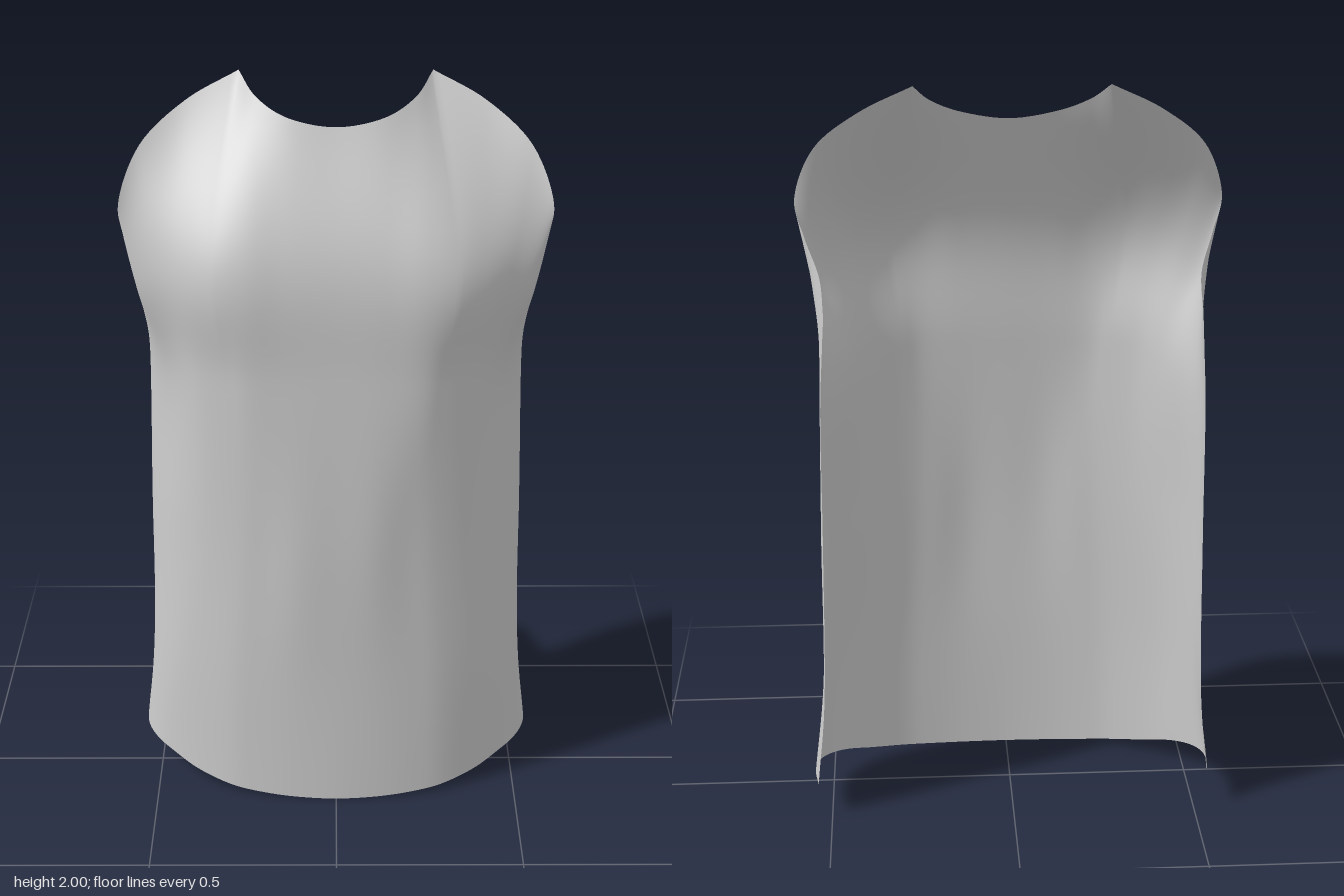
import * as THREE from 'three';

// Control rows for the wearer's left half, from the centre line round to the side edge.
const zip = (x, y, z) => x.map((v, i) => new THREE.Vector3(v, Array.isArray(y) ? y[i] : y, z[i]));
const BODY = [
  // curved hem
  zip([0, .12, .22, .30, .39, .46, .51, .54, .545, .535],
    [0, .003, .01, .02, .04, .065, .08, .09, .097, .1],
    [.20, .193, .177, .155, .11, .06, .01, -.05, -.12, -.19]),
  // hip
  zip([0, .11, .21, .29, .38, .445, .49, .513, .515, .51], .37,
    [.197, .193, .178, .158, .115, .07, .015, -.04, -.11, -.19]),
  // waist
  zip([0, .10, .19, .26, .34, .40, .45, .49, .507, .50], .8,
    [.20, .198, .178, .16, .125, .085, .035, -.03, -.10, -.19]),
  // hollow under the chest
  zip([0, .12, .22, .28, .35, .395, .435, .475, .497, .495],
    [1.25, 1.25, 1.25, 1.25, 1.25, 1.24, 1.22, 1.2, 1.18, 1.16],
    [.183, .182, .175, .155, .12, .08, .03, -.03, -.10, -.187]),
  // chest and underarm
  zip([0, .13, .23, .31, .385, .45, .505, .51, .495, .485],
    [1.57, 1.57, 1.58, 1.58, 1.56, 1.53, 1.48, 1.45, 1.39, 1.34],
    [.158, .16, .16, .145, .115, .08, .045, 0, -.08, -.193]),
];
// neckline, shoulder edge and armhole
const EDGE = zip([0, .12, .20, .245, .38, .495, .55, .528, .49, .478],
  [1.89, 1.91, 1.95, 2.0, 1.93, 1.83, 1.69, 1.59, 1.505, 1.44],
  [.022, .01, -.04, -.11, -.08, -.025, .025, .012, -.07, -.2]);
const NECK = 3;   // column of the neck corner, where the edge turns sharply
const LAST = 9;

const spline = (pts) => new THREE.CatmullRomCurve3(pts, false, 'catmullrom', 0.5);
const mirror = (p) => new THREE.Vector3(-p.x, p.y, p.z);
const bothSides = (row) => spline([...row.slice(1).reverse().map(mirror), ...row]);

// Samplers take a column number from 0 (centre) to LAST (side edge).
function bodySampler(row) {
  const curve = bothSides(row);
  return (k) => curve.getPoint(0.5 + k / (2 * LAST));
}

function edgeSampler(row) {
  const neck = bothSides(row.slice(0, NECK + 1));
  const side = spline(row.slice(NECK));
  return (k) => k <= NECK
    ? neck.getPoint(0.5 + k / (2 * NECK))
    : side.getPoint((k - NECK) / (LAST - NECK));
}

function clothGeometry() {
  const perColumn = 8, half = LAST * perColumn, nv = 75, stride = 2 * half + 1;
  const samplers = [...BODY.map(bodySampler), edgeSampler(EDGE)];
  const columns = [];
  for (let i = 0; i <= half; i++) {
    columns.push(spline(samplers.map((f) => f(i / perColumn))).getPoints(nv));
  }
  const pos = [], index = [];
  for (let j = 0; j <= nv; j++) {
    for (let i = -half; i <= half; i++) {
      const p = columns[Math.abs(i)][j];
      pos.push(i < 0 ? -p.x : p.x, p.y, p.z);
    }
  }
  for (let j = 0; j < nv; j++) {
    for (let i = 0; i < stride - 1; i++) {
      const a = j * stride + i, b = a + 1, c = a + stride, d = c + 1;
      index.push(a, b, d, a, d, c);
    }
  }
  const g = new THREE.BufferGeometry();
  g.setAttribute('position', new THREE.Float32BufferAttribute(pos, 3));
  g.setIndex(index);
  g.computeVertexNormals();
  return g;
}

export function createModel() {
  const group = new THREE.Group();
  group.name = 'sleevelessTop';
  const cloth = new THREE.MeshStandardMaterial({ color: 0xcccccc, side: THREE.DoubleSide });
  const panel = new THREE.Mesh(clothGeometry(), cloth);
  panel.name = 'frontPanel';
  group.add(panel);
  return group;
}
